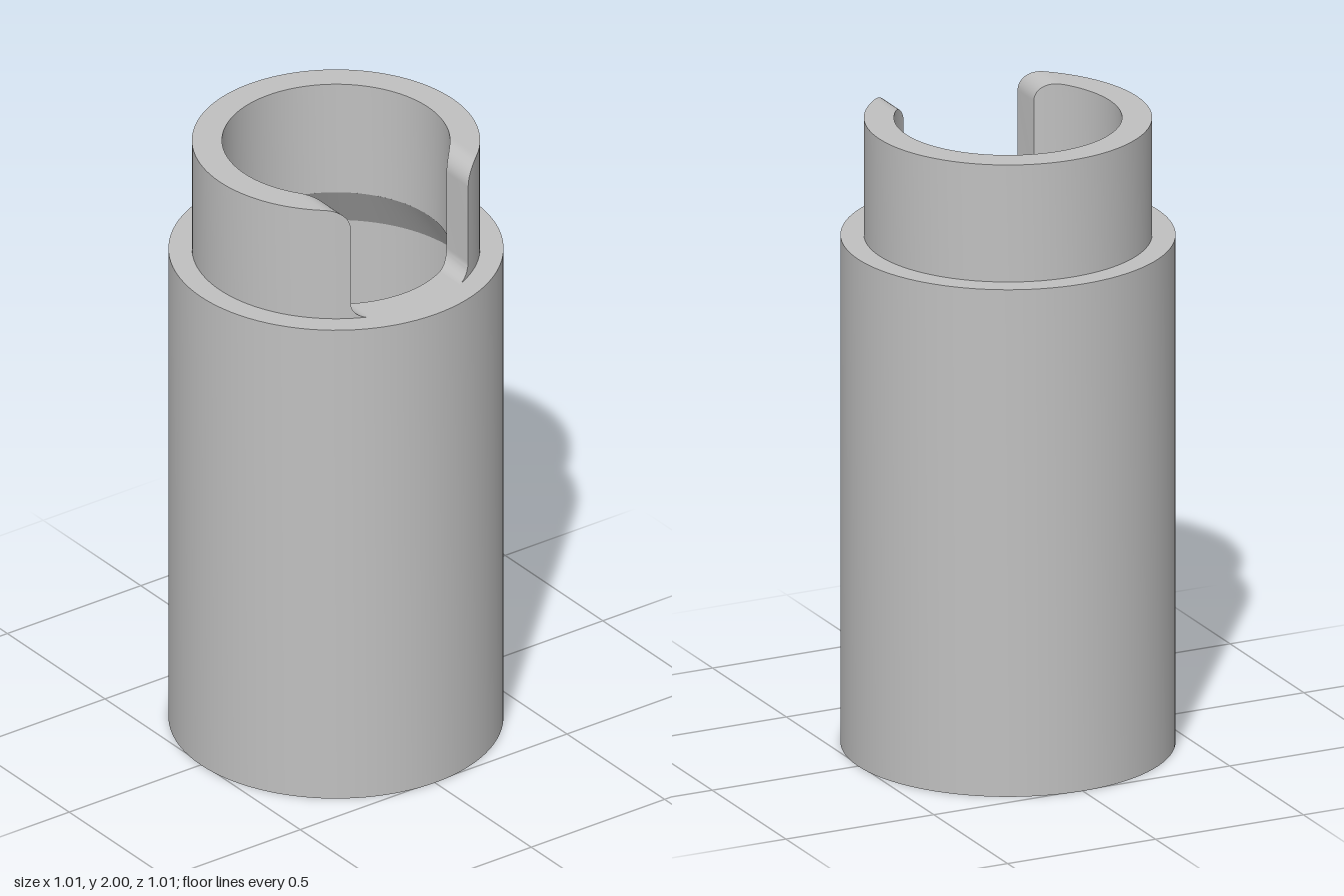
import * as THREE from 'three';
import { toCreasedNormals } from 'three/addons/utils/BufferGeometryUtils.js';

const SHOULDER = 1.625, TOP = 2;
const SLEEVE_R = 0.507, BORE_R = 0.441, COLLAR_R = 0.436, NECK_R = 0.345;
const SLOT = 0.22, FOOT_FILLET = 0.05, TOP_ROUND = 0.065;

// Outline of one slot edge: foot fillet, straight wall, rounded top corner
function slotEdge(steps = 10) {
  const pts = [];
  for (let i = 0; i <= steps; i++) {
    const t = (i / steps) * Math.PI / 2;
    pts.push({
      z: SLOT - FOOT_FILLET + FOOT_FILLET * Math.sin(t),
      y: SHOULDER + FOOT_FILLET * (1 - Math.cos(t)),
    });
  }
  for (let i = 0; i <= steps; i++) {
    const t = (i / steps) * Math.PI / 2;
    pts.push({
      z: SLOT + TOP_ROUND * (1 - Math.cos(t)),
      y: TOP - TOP_ROUND * (1 - Math.sin(t)),
    });
  }
  return pts;
}

// Rim of the collar at radius r, running from one slot edge round to the other
function rim(r, arcSteps = 84) {
  const edge = slotEdge().map(({ z, y }) => ({ a: Math.asin(z / r), y }));
  const start = edge[edge.length - 1].a;
  const arc = [];
  for (let i = 1; i < arcSteps; i++) {
    arc.push({ a: start + (2 * Math.PI - 2 * start) * (i / arcSteps), y: TOP });
  }
  const mirrored = edge.map(({ a, y }) => ({ a: 2 * Math.PI - a, y })).reverse();
  return [...edge, ...arc, ...mirrored].map(({ a, y }) =>
    new THREE.Vector3(r * Math.cos(a), y, r * Math.sin(a)));
}

function collarGeometry() {
  const pos = [];
  const tri = (a, b, c) => {
    const area = new THREE.Triangle(a, b, c).getArea();
    if (area > 1e-8) for (const p of [a, b, c]) pos.push(p.x, p.y, p.z);
  };
  const quad = (a, b, c, d) => { tri(a, b, c); tri(a, c, d); };
  const foot = (p) => new THREE.Vector3(p.x, SHOULDER, p.z);
  const outer = rim(COLLAR_R), inner = rim(NECK_R);
  for (let i = 0; i < outer.length - 1; i++) {
    const [o, o2, n, n2] = [outer[i], outer[i + 1], inner[i], inner[i + 1]];
    quad(foot(o), o, o2, foot(o2)); // outer wall
    quad(foot(n2), n2, n, foot(n)); // inner wall
    quad(n, n2, o2, o);             // rim and slot sides
  }
  const g = new THREE.BufferGeometry();
  g.setAttribute('position', new THREE.Float32BufferAttribute(pos, 3));
  return toCreasedNormals(g, 0.5);
}

// Wide-bored sleeve with an inner cone narrowing to the neck
function sleeveGeometry() {
  const profile = [
    [BORE_R, 0], [SLEEVE_R, 0], [SLEEVE_R, SHOULDER],
    [NECK_R, SHOULDER], [BORE_R, 1.475], [BORE_R, 0],
  ].map(([x, y]) => new THREE.Vector2(x, y));
  return toCreasedNormals(new THREE.LatheGeometry(profile, 96), 0.5);
}

export function createModel() {
  const grey = new THREE.MeshStandardMaterial({ color: 0xc0c0c0 });
  grey.name = 'plain grey';

  const group = new THREE.Group();
  group.name = 'slottedSleeve';

  const sleeve = new THREE.Mesh(sleeveGeometry(), grey);
  sleeve.name = 'sleeve';
  const collar = new THREE.Mesh(collarGeometry(), grey);
  collar.name = 'slottedCollar';

  group.add(sleeve, collar);
  return group;
}
